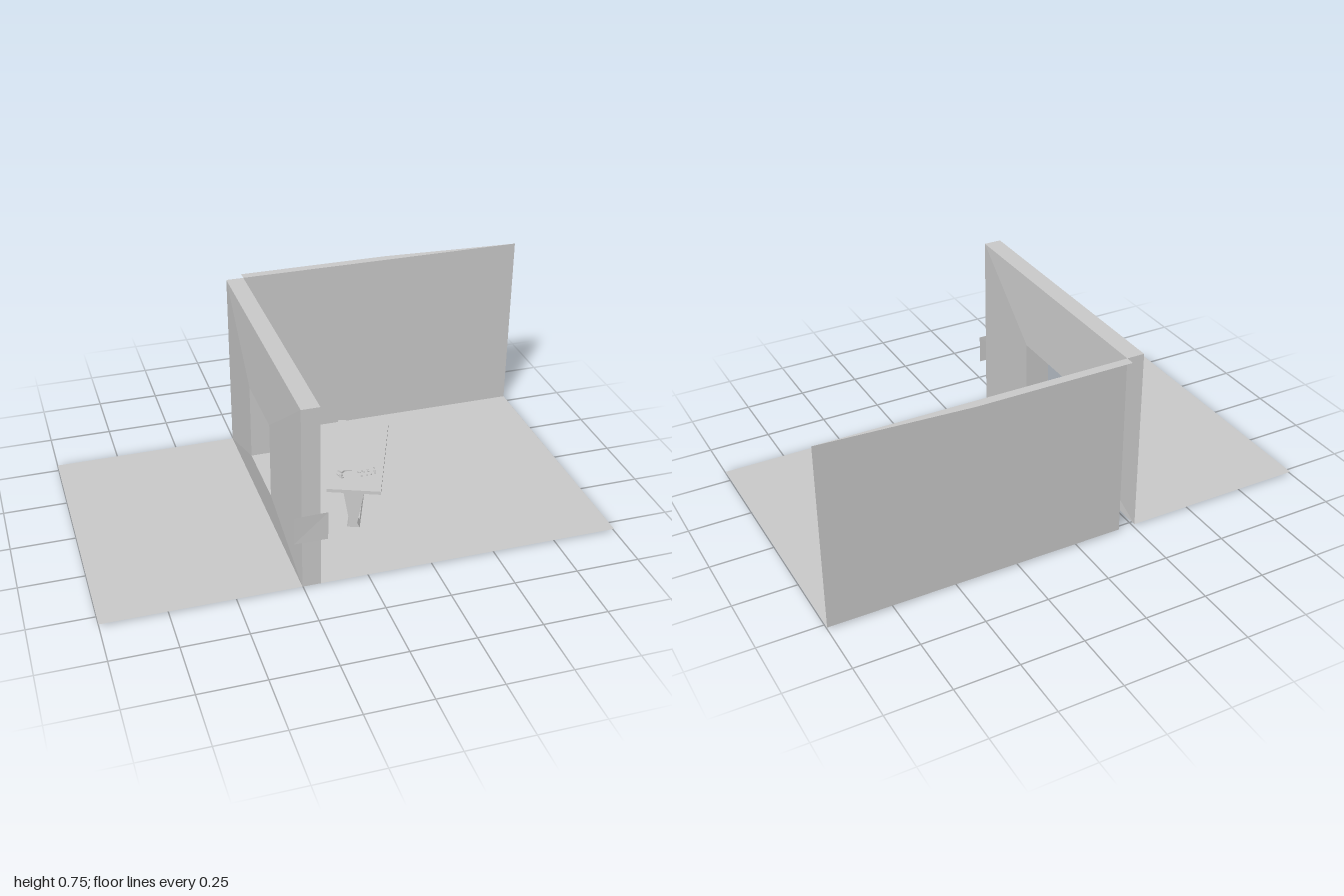
import * as THREE from 'three';

const FLOOR = 0.008, BACK = -0.527, FRONT = 0.555, TOP = 0.753;
const WALL_L = -0.255, WALL_R = -0.185;
const grey = new THREE.MeshStandardMaterial({ color: 0xcccccc, flatShading: true });
const sheet = new THREE.MeshStandardMaterial({ color: 0xcccccc, flatShading: true, side: THREE.DoubleSide });

function add(parent, name, geometry, material = grey, position = [0, 0, 0], turn = 0) {
  const mesh = new THREE.Mesh(geometry, material);
  mesh.name = name;
  mesh.position.set(...position);
  mesh.rotation.y = turn;
  parent.add(mesh);
  return mesh;
}

// Flat polygons, each a fan of counter-clockwise corners
function polygons(faces) {
  const points = [];
  for (const f of faces)
    for (let i = 1; i < f.length - 1; i++) points.push(...f[0], ...f[i], ...f[i + 1]);
  const geometry = new THREE.BufferGeometry();
  geometry.setAttribute('position', new THREE.Float32BufferAttribute(points, 3));
  geometry.computeVertexNormals();
  return geometry;
}

// Horizontal rectangle facing up
const level = (x0, x1, y) => [[x0, y, FRONT], [x1, y, FRONT], [x1, y, BACK], [x0, y, BACK]];

// Wall that swells towards a square window, open at the back end and underneath
function windowWall() {
  const loop = (x, y0, y1, z0, z1) => [[x, y0, z1], [x, y0, z0], [x, y1, z0], [x, y1, z1]];
  const outerR = loop(WALL_R, FLOOR, TOP, BACK, FRONT), outerL = loop(WALL_L, FLOOR, TOP, BACK, FRONT);
  const holeR = loop(-0.167, 0.16, 0.472, -0.133, 0.166), holeL = loop(-0.267, 0.16, 0.472, -0.133, 0.166);
  const faces = [];
  for (let i = 0; i < 4; i++) {
    const j = (i + 1) % 4;
    faces.push([outerR[i], outerR[j], holeR[j], holeR[i]]);
    faces.push([outerL[j], outerL[i], holeL[i], holeL[j]]);
    faces.push([holeR[i], holeR[j], holeL[j], holeL[i]]);
  }
  faces.push(level(WALL_L, WALL_R, TOP));
  faces.push([outerL[0], outerR[0], outerR[3], outerL[3]]);
  return polygons(faces);
}

// Trestle: long frame whose width pinches just above the foot
function trestle() {
  const ring = (path, half, y0, y1) => {
    path.moveTo(-half, y0);
    path.lineTo(half, y0);
    path.lineTo(half, 0.028);
    path.lineTo(half, y1);
    path.lineTo(-half, y1);
    path.lineTo(-half, 0.028);
    path.closePath();
    return path;
  };
  const shape = ring(new THREE.Shape(), 0.258, 0, 0.165);
  shape.holes.push(ring(new THREE.Path(), 0.217, 0.016, 0.15));
  const geometry = new THREE.ExtrudeGeometry(shape, { depth: 1, bevelEnabled: false });
  geometry.translate(0, 0, -0.5);
  const p = geometry.attributes.position;
  for (let i = 0; i < p.count; i++) {
    const y = p.getY(i);
    const width = y < 0.028
      ? THREE.MathUtils.mapLinear(y, 0, 0.028, 0.058, 0.03)
      : THREE.MathUtils.mapLinear(y, 0.028, 0.165, 0.03, 0.078);
    p.setZ(i, p.getZ(i) * width);
  }
  geometry.computeVertexNormals();
  return geometry;
}

export function createModel() {
  const model = new THREE.Group();
  model.name = 'roomCorner';

  // Floors on both sides of the wall
  add(model, 'outerFloor', polygons([level(-1, WALL_L, FLOOR)]), sheet);
  add(model, 'innerFloor', polygons([level(WALL_R, 1, FLOOR)]), sheet);

  // Walls
  add(model, 'windowWall', windowWall(), sheet);
  add(model, 'backWall', polygons([
    [[WALL_R, FLOOR, BACK], [1, FLOOR, BACK], [1, TOP, BACK], [WALL_R, TOP, BACK]],
  ]), sheet);
  add(model, 'backWallLedge', polygons([
    [[WALL_R, TOP, BACK], [1, TOP, BACK], [0.43, TOP, -0.563], [WALL_R, TOP, -0.563]],
  ]), sheet);

  // Small slightly tilted plate on the end of the wall
  add(model, 'wallPlate', polygons([
    [[-0.286, 0.204, 0.557], [-0.158, 0.204, 0.558], [-0.158, 0.32, 0.56], [-0.286, 0.32, 0.563]],
  ]), sheet);

  // Workbench, turned in the room
  const bench = new THREE.Group();
  bench.name = 'workbench';
  bench.position.set(0.136, 0, 0.011);
  bench.rotation.y = 1.181;
  model.add(bench);
  add(bench, 'benchTop', new THREE.BoxGeometry(0.519, 0.014, 0.208), grey, [0, 0.172, 0]);
  add(bench, 'benchTrestle', trestle());

  // Hand tool lying on the bench
  const tool = new THREE.Group();
  tool.name = 'handTool';
  model.add(tool);
  add(tool, 'toolShaft', new THREE.BoxGeometry(0.055, 0.005, 0.005), grey, [0.045, 0.183, 0.113], -0.25);
  add(tool, 'toolHead', new THREE.BoxGeometry(0.016, 0.008, 0.012), grey, [0.032, 0.184, 0.118], 0.5);
  add(tool, 'toolGrip', new THREE.BoxGeometry(0.01, 0.005, 0.036), grey, [0.017, 0.183, 0.143], 0.3);
  add(tool, 'toolKnob', new THREE.CylinderGeometry(0.006, 0.008, 0.013, 8), grey, [0.017, 0.188, 0.149]);

  // Scattered small pieces beside it
  for (let i = 0; i < 12; i++) {
    const x = 0.093 + (i % 4) * 0.022 + Math.sin(i * 5) * 0.005;
    const z = 0.128 + Math.floor(i / 4) * 0.016 + Math.cos(i * 7) * 0.005;
    add(model, 'smallPiece', new THREE.CylinderGeometry(0.004, 0.004, 0.004, 6), grey, [x, 0.181, z]);
  }
  return model;
}
